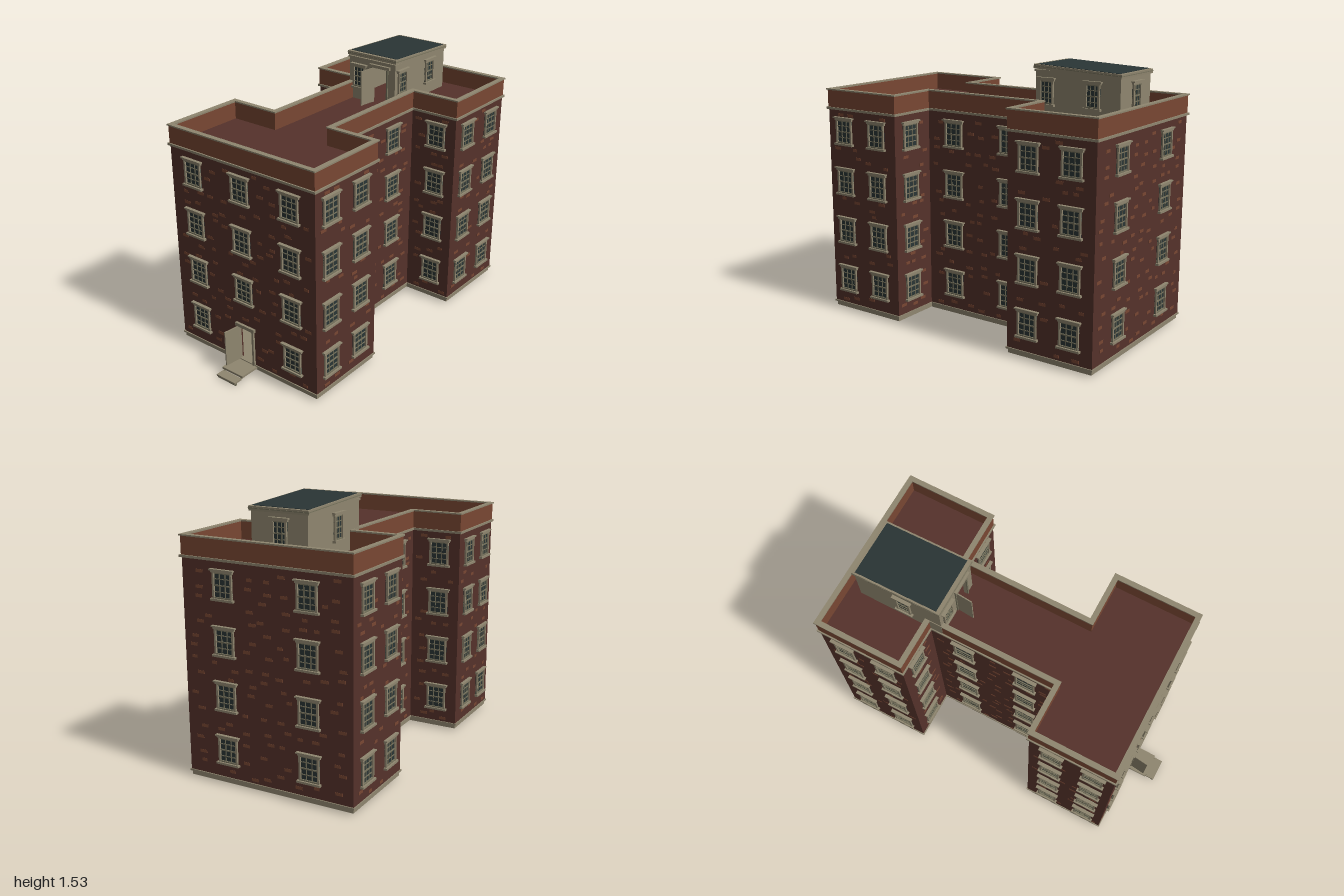
import * as THREE from 'three';
import { mergeGeometries } from 'three/addons/utils/BufferGeometryUtils.js';

const mat = (name, color) => {
  const m = new THREE.MeshStandardMaterial({ color });
  m.name = name;
  return m;
};

export function createModel() {
  const M = {
    brick: mat('dark brick', 0x55322b),
    light: mat('light brick', 0x794733),
    stone: mat('beige stone', 0x8f866f),
    frame: mat('window frame', 0x77735d),
    glass: mat('dark glass', 0x2a3535),
    under: mat('underside', 0x626b65),
  };
  const model = new THREE.Group();
  model.name = 'apartmentBlock';

  const add = (parent, name, geo, material) => {
    const m = new THREE.Mesh(geo, material);
    m.name = name;
    parent.add(m);
    return m;
  };
  const boxGeo = (w, h, d, x, y, z) => new THREE.BoxGeometry(w, h, d).translate(x, y, z);
  // box given by its min and max corners
  const span = (parent, name, material, x0, x1, y0, y1, z0, z1) =>
    add(parent, name, boxGeo(x1 - x0, y1 - y0, z1 - z0, (x0 + x1) / 2, (y0 + y1) / 2, (z0 + z1) / 2), material);

  // footprint points are [x, z]; the slab rises from y0 to y1
  const toPts = (pts) => pts.map(([x, z]) => new THREE.Vector2(x, -z));
  const slab = (parent, name, material, pts, y0, y1, hole) => {
    const s = new THREE.Shape(toPts(pts));
    if (hole) s.holes.push(new THREE.Path(toPts(hole)));
    const g = new THREE.ExtrudeGeometry(s, { depth: y1 - y0, bevelEnabled: false });
    g.rotateX(-Math.PI / 2).translate(0, y0, 0);
    return add(parent, name, g, material);
  };

  // I-shaped footprint, grown outward by d, with an optional doorway and hall cut in
  const X = 0.504, NX = 0.202, ZF = 0.822, ZB = -0.976, NF = 0.317, NB = -0.451;
  const HX = 0.4, HB = 0.36, HF = 0.8;
  const hallPlan = [[-0.05, HF], [-HX, HF], [-HX, HB], [HX, HB], [HX, HF], [0.05, HF]];
  const plan = (d, hall) => [
    [-X - d, ZF + d], ...(hall ? [[-0.05, ZF + d], ...hallPlan, [0.05, ZF + d]] : []),
    [X + d, ZF + d], [X + d, NF - d], [NX + d, NF - d], [NX + d, NB + d], [X + d, NB + d], [X + d, ZB - d],
    [-X - d, ZB - d], [-X - d, NB + d], [-NX - d, NB + d], [-NX - d, NF - d], [-X - d, NF - d],
  ];

  // main body
  slab(model, 'underside', M.under, plan(-0.012), 0.008, 0.012);
  slab(model, 'foundation', M.stone, plan(-0.004), 0.01, 0.036);
  slab(model, 'foundationTrim', M.stone, plan(0.006), 0.034, 0.044);
  slab(model, 'lowerWalls', M.brick, plan(0, true), 0.04, 0.26);
  slab(model, 'upperWallsAndRoof', M.brick, plan(0), 0.26, 1.235);
  slab(model, 'cornice', M.stone, plan(0.011), 1.222, 1.235, plan(-0.01));
  slab(model, 'parapet', M.light, plan(0.003), 1.235, 1.335, plan(-0.017));
  slab(model, 'parapetCap', M.stone, plan(0.009), 1.334, 1.342, plan(-0.021));

  // window: origin at the bottom centre of the sill, local +z points out of the wall
  const windowParts = (w, h) => {
    const t = 0.011, y0 = 0.012, y1 = h - 0.018, gh = y1 - y0, cy = (y0 + y1) / 2;
    const bars = [boxGeo(w, 0.007, 0.01, 0, y0 + 0.0035, 0.005), boxGeo(w, 0.007, 0.01, 0, y1 - 0.0035, 0.005)];
    for (const s of [-1, 1]) {
      bars.push(boxGeo(0.0045, gh, 0.006, s * w / 7, cy, 0.003));
      bars.push(boxGeo(w, 0.0045, 0.006, 0, cy + s * gh / 4, 0.003));
    }
    bars.push(boxGeo(w, 0.007, 0.008, 0, cy, 0.004));
    const surround = [
      boxGeo(w + 0.02, 0.012, 0.02, 0, 0.006, 0.01),
      boxGeo(w + 0.014, 0.013, 0.013, 0, h - 0.0125, 0.0065),
      boxGeo(w + 0.026, 0.008, 0.02, 0, h - 0.004, 0.01),
      ...[-1, 1].map((s) => boxGeo(t, gh, 0.012, s * (w / 2 - t / 2), cy, 0.006)),
    ];
    return { pane: boxGeo(w, gh, 0.003, 0, cy, 0.0005), bars: mergeGeometries(bars), surround: mergeGeometries(surround) };
  };
  const addWindow = (parent, parts, x, y, z = 0, rot = 0) => {
    const g = new THREE.Group();
    g.name = 'window';
    add(g, 'glass', parts.pane, M.glass);
    add(g, 'glazingBars', parts.bars, M.frame);
    add(g, 'surround', parts.surround, M.stone);
    g.position.set(x, y, z);
    g.rotation.y = rot;
    parent.add(g);
  };

  // small seeded generator for the scattered bricks
  let seed = 11;
  const rnd = () => {
    seed = (seed * 16807) % 2147483647;
    return seed / 2147483647;
  };

  const winParts = windowParts(0.12, 0.166);
  const floors = [0.118, 0.418, 0.717, 1.016];
  const facade = (name, cx, cz, rot, len, cols, door) => {
    const f = new THREE.Group();
    f.name = name;
    f.position.set(cx, 0, cz);
    f.rotation.y = rot;
    model.add(f);
    for (const c of cols) for (const y of floors) {
      if (door && c === 0 && y < 0.2) continue;
      addWindow(f, winParts, c, y);
    }
    // one jittered brick per cell, kept clear of the openings
    const bricks = [], nx = Math.round(len / 0.118), cell = (len - 0.05) / nx;
    for (let j = 0; j < 14; j++) for (let i = 0; i < nx; i++) {
      const x = (i + 0.2 + 0.6 * rnd()) * cell - len / 2 + 0.025;
      const y = 0.064 + j * 0.083 + Math.floor(rnd() * 4) * 0.017;
      const hit = cols.some((c) => Math.abs(x - c) < 0.095 &&
        (floors.some((w) => y > w - 0.012 && y < w + 0.178) || (door && c === 0 && y < 0.3)));
      if (!hit) bricks.push(boxGeo(rnd() < 0.35 ? 0.032 : 0.043, 0.017, 0.002, x, y, 0.0002));
    }
    add(f, 'lightBricks', mergeGeometries(bricks), M.light);
  };

  facade('frontFacade', 0, ZF, 0, 2 * X, [-0.34, 0, 0.34], true);
  facade('backFacade', 0, ZB, Math.PI, 2 * X, [-0.25, 0.25]);
  for (const s of [1, -1]) {
    const side = (name, x, z0, z1, zs) => {
      const c = (z0 + z1) / 2;
      facade(name, s * x, c, s * Math.PI / 2, z1 - z0, zs.map((z) => -s * (z - c)));
    };
    side('frontBlockSide', X, NF, ZF, [0.703, 0.455]);
    side('neckSide', NX, NB, NF, [0.133, -0.25]);
    side('backBlockSide', X, ZB, NB, [-0.58, -0.838]);
    facade('frontBlockInnerWall', s * 0.353, NF, Math.PI, X - NX, [-s * 0.022]);
    facade('backBlockInnerWall', s * 0.353, NB, 0, X - NX, [s * 0.022]);
  }

  // entrance with open door, hall and steps
  const entrance = new THREE.Group();
  entrance.name = 'entrance';
  model.add(entrance);
  span(entrance, 'hallFloor', M.stone, -HX, HX, 0.04, 0.045, HB, HF);
  span(entrance, 'threshold', M.stone, -0.05, 0.05, 0.04, 0.045, HF, ZF);
  span(entrance, 'hallWindow', M.glass, -0.05, 0.05, 0.185, 0.26, HB, HB + 0.004);
  for (let i = 0; i < 4; i++) {
    span(entrance, 'hallWindowBar', M.frame, -0.05, 0.05, 0.18 + i * 0.021, 0.187 + i * 0.021, HB, HB + 0.008);
  }
  for (const s of [-1, 1]) {
    add(entrance, 'doorJamb', boxGeo(0.013, 0.225, 0.025, s * 0.056, 0.1525, ZF), M.stone);
  }
  span(entrance, 'doorLintel', M.stone, -0.07, 0.07, 0.258, 0.278, ZF - 0.01, ZF + 0.015);
  const leaf = add(entrance, 'openDoor', boxGeo(0.008, 0.215, 0.1, 0, 0, 0.05), M.stone);
  leaf.position.set(-0.052, 0.15, ZF + 0.005);
  leaf.rotation.y = -0.12;
  span(entrance, 'porchSlab', M.stone, -0.077, 0.075, 0.026, 0.038, ZF, 0.945);
  span(entrance, 'stepTread', M.stone, -0.068, 0.068, 0.012, 0.022, 0.945, 1.0);
  for (const s of [-1, 1]) {
    const stringer = add(entrance, 'stepStringer', boxGeo(0.008, 0.008, 0.08, s * 0.06, 0, 0), M.frame);
    stringer.position.set(0, 0.017, 0.955);
    stringer.rotation.x = 0.18;
  }
  span(entrance, 'stepFoot', M.frame, -0.068, 0.068, 0, 0.012, 0.983, 0.993);

  // rooftop stair house, hollow with an open door
  const house = new THREE.Group();
  house.name = 'stairHouse';
  model.add(house);
  const x0 = -0.207, x1 = 0.124, z0 = -0.89, z1 = -0.372, t = 0.02, d0 = -0.038, d1 = 0.065;
  slab(house, 'stairHouseWalls', M.stone, [
    [x0, z1], [d0, z1], [d0, z1 - t], [x0 + t, z1 - t], [x0 + t, z0 + t], [x1 - t, z0 + t],
    [x1 - t, z1 - t], [d1, z1 - t], [d1, z1], [x1, z1], [x1, z0], [x0, z0],
  ], 1.235, 1.455);
  span(house, 'stairHouseTop', M.stone, x0, x1, 1.455, 1.497, z0, z1);
  span(house, 'stairHouseCornice', M.stone, x0 - 0.006, x1 + 0.006, 1.487, 1.497, z0 - 0.006, z1 + 0.006);
  const roof = new THREE.Group();
  roof.name = 'slopedRoof';
  roof.position.set((x0 + x1) / 2, 1.503, (z0 + z1) / 2);
  roof.rotation.x = -0.043;
  house.add(roof);
  add(roof, 'roofFascia', boxGeo(0.352, 0.024, 0.535, 0, 0, 0), M.stone);
  add(roof, 'roofShadowGap', boxGeo(0.355, 0.004, 0.538, 0, 0.001, 0), M.frame);
  add(roof, 'roofCovering', boxGeo(0.33, 0.004, 0.495, 0, 0.0122, -0.002), M.glass);

  const small = windowParts(0.088, 0.155);
  const wy = 1.303;
  addWindow(house, small, -0.134, wy, z1);
  addWindow(house, small, -0.045, wy, z0, Math.PI);
  addWindow(house, small, -0.045, wy, z0 + t);
  for (const z of [-0.443, -0.727]) addWindow(house, small, x1, wy, z, Math.PI / 2);
  addWindow(house, small, x0, wy, -0.6, -Math.PI / 2);
  for (const x of [d0 - 0.005, d1 + 0.005]) {
    add(house, 'roofDoorJamb', boxGeo(0.01, 0.22, 0.014, x, 1.345, z1), M.frame);
  }
  span(house, 'roofDoorLintel', M.stone, -0.052, 0.09, 1.457, 1.475, z1 - 0.01, z1 + 0.016);
  const roofLeaf = add(house, 'openRoofDoor', boxGeo(0.007, 0.21, 0.1, 0, 0, 0.05), M.stone);
  roofLeaf.position.set(d0, 1.345, z1 + 0.003);
  roofLeaf.rotation.y = -0.08;

  return model;
}
